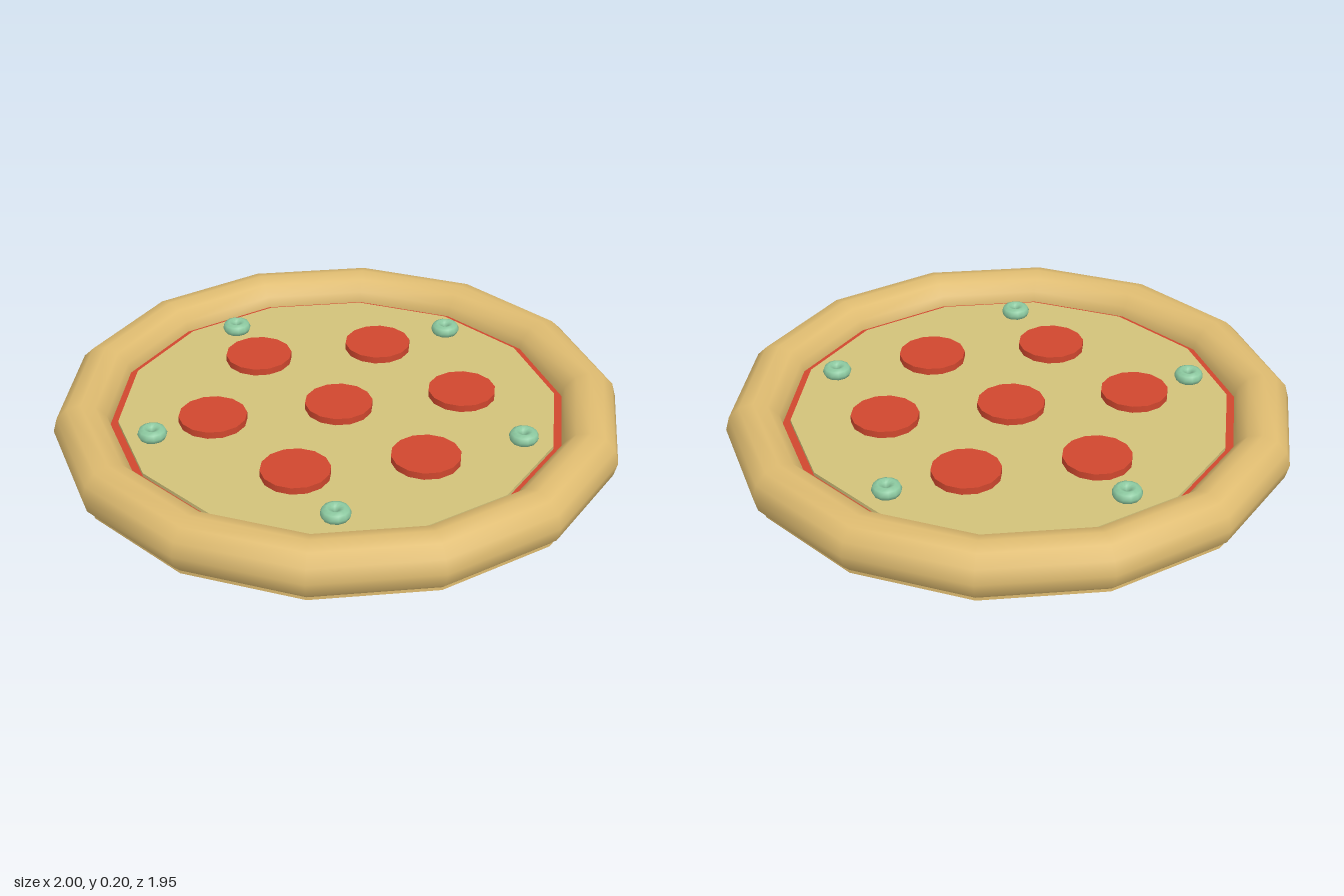
import * as THREE from 'three';

const SIDES = 14;

export function createModel() {
  const pizza = new THREE.Group();
  pizza.name = 'pizza';

  const material = (name, color) => {
    const m = new THREE.MeshStandardMaterial({ color });
    m.name = name;
    return m;
  };
  const crust = material('baked crust', 0xdebb70);
  const red = material('tomato red', 0xcf472e);
  const cheese = material('cheese', 0xd2c27a);
  const green = material('olive green', 0x8cc9a0);

  const add = (name, geometry, mat, x = 0, y = 0, z = 0) => {
    const mesh = new THREE.Mesh(geometry, mat);
    mesh.name = name;
    mesh.position.set(x, y, z);
    pizza.add(mesh);
    return mesh;
  };

  // Flat disc between two heights, with a corner on the +x axis
  const disc = (radius, bottom, top, sides) =>
    new THREE.CylinderGeometry(radius, radius, top - bottom, sides)
      .rotateY(Math.PI / 2)
      .translate(0, (top + bottom) / 2, 0);

  // Ring lying flat
  const ring = (radius, tube, tubeSides, sides) =>
    new THREE.TorusGeometry(radius, tube, tubeSides, sides).rotateX(Math.PI / 2);

  // Dough, rim, sauce and cheese
  add('base', disc(0.96, 0.012, 0.04, SIDES), crust);
  add('crustRim', ring(0.9, 0.1, 12, SIDES), crust, 0, 0.1, 0);
  add('sauce', disc(0.82, 0.035, 0.112, SIDES), red);
  add('cheeseLayer', disc(0.775, 0.1, 0.125, SIDES), cheese);

  // Pepperoni: one in the middle, six around it
  const slice = disc(0.12, 0.12, 0.15, 14);
  add('pepperoniCentre', slice, red);
  for (let i = 0; i < 6; i++) {
    const a = Math.PI / 2 + (i * Math.PI) / 3;
    add('pepperoni' + (i + 1), slice, red, 0.447 * Math.cos(a), 0, 0.447 * Math.sin(a));
  }

  // Olive rings near the rim
  const olive = ring(0.03, 0.022, 8, 12);
  for (let i = 0; i < 5; i++) {
    const a = (i * Math.PI * 2) / 5;
    add('olive' + (i + 1), olive, green, 0.67 * Math.cos(a), 0.143, 0.67 * Math.sin(a));
  }

  return pizza;
}
